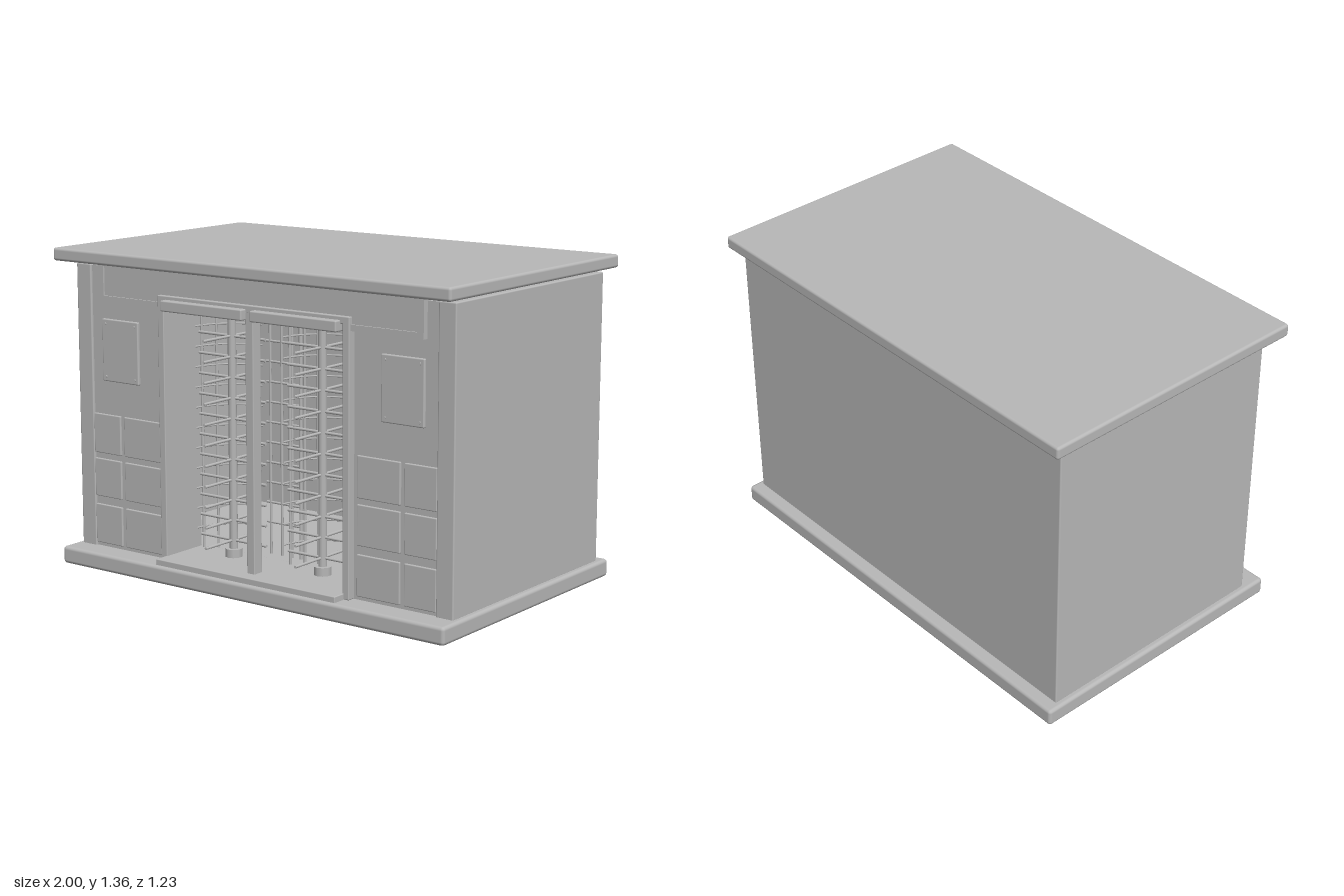
import * as THREE from 'three';
import { RoundedBoxGeometry } from 'three/addons/geometries/RoundedBoxGeometry.js';

export function createModel() {
  const root = new THREE.Group();
  root.name = 'turnstileKiosk';
  const grey = new THREE.MeshStandardMaterial({ color: 0xb8b8b8 });
  grey.name = 'plainGrey';

  const add = (name, geo, parent = root) => {
    const m = new THREE.Mesh(geo, grey);
    m.name = name;
    parent.add(m);
    return m;
  };
  // Box given by its extents, with an optional rounded edge
  const box = (name, x0, x1, y0, y1, z0, z1, r = 0, parent = root) => {
    const s = [x1 - x0, y1 - y0, z1 - z0];
    const m = add(name, r ? new RoundedBoxGeometry(...s, 2, r) : new THREE.BoxGeometry(...s), parent);
    m.position.set((x0 + x1) / 2, (y0 + y1) / 2, (z0 + z1) / 2);
    return m;
  };
  // The same box on both sides of x = 0
  const pair = (name, x0, x1, ...rest) => {
    box(name + 'Left', x0, x1, ...rest);
    box(name + 'Right', -x1, -x0, ...rest);
  };
  // Round rod between two points
  const rod = (name, a, b, r, parent = root) => {
    const p = new THREE.Vector3(...a), q = new THREE.Vector3(...b);
    const m = add(name, new THREE.CylinderGeometry(r, r, p.distanceTo(q), 10), parent);
    m.position.copy(p).add(q).multiplyScalar(0.5);
    m.quaternion.setFromUnitVectors(new THREE.Vector3(0, 1, 0), q.sub(p).normalize());
    return m;
  };

  // Slabs and shell
  box('baseSlab', -0.985, 0.985, 0, 0.075, -0.615, 0.615, 0.015);
  box('roofSlab', -1, 1, 1.305, 1.36, -0.615, 0.615, 0.012);
  pair('sideWall', 0.88, 0.96, 0.07, 1.29, -0.56, 0.515, 0.006);
  box('backWall', -0.955, 0.955, 0.07, 1.29, -0.56, -0.52, 0.006);
  box('ceiling', -0.9, 0.9, 1.25, 1.285, -0.55, 0.49);
  box('roofSupport', -0.82, 0.82, 1.27, 1.306, 0.33, 0.49);

  // Front wall with the doorway cut out
  const wall = new THREE.Shape([
    [-0.89, 0.07], [-0.47, 0.07], [-0.47, 1.17], [0.47, 1.17],
    [0.47, 0.07], [0.89, 0.07], [0.89, 1.285], [-0.89, 1.285],
  ].map(p => new THREE.Vector2(...p)));
  const front = add('frontWall', new THREE.ExtrudeGeometry(wall, { depth: 0.04, bevelEnabled: false }));
  front.position.z = 0.465;
  pair('doorReveal', 0.455, 0.485, 0.07, 1.17, 0.32, 0.5);

  // Sign board with a raised border
  const rect = (P, x, y0, y1) => {
    const p = new P();
    p.moveTo(-x, y0); p.lineTo(x, y0); p.lineTo(x, y1); p.lineTo(-x, y1); p.closePath();
    return p;
  };
  box('signPanel', -0.81, 0.81, 1.15, 1.3, 0.49, 0.522);
  const border = rect(THREE.Shape, 0.825, 1.14, 1.305);
  border.holes.push(rect(THREE.Path, 0.795, 1.165, 1.297));
  add('signBorder', new THREE.ExtrudeGeometry(border, { depth: 0.035, bevelEnabled: false })).position.z = 0.495;

  // Stone tiles and notice plates
  for (const [y0, y1] of [[0.09, 0.26], [0.295, 0.46], [0.485, 0.655]]) {
    pair('wideTile', 0.505, 0.71, y0, y1, 0.49, 0.514, 0.004);
    pair('narrowTile', 0.73, 0.88, y0, y1, 0.49, 0.514, 0.004);
  }
  pair('noticePlate', 0.62, 0.82, 0.8, 1.065, 0.5, 0.517, 0.005);
  for (const s of [-1, 1]) for (const x of [0.64, 0.8]) for (const y of [0.82, 1.045])
    rod('plateScrew', [s * x, y, 0.515], [s * x, y, 0.521], 0.006);

  // Door frame, sill and header covers
  pair('framePost', 0.455, 0.487, 0.075, 1.195, 0.49, 0.54, 0.004);
  box('frameLintel', -0.487, 0.487, 1.165, 1.195, 0.49, 0.54, 0.004);
  box('centreMullion', -0.026, 0.014, 0.09, 1.17, 0.49, 0.54, 0.004);
  box('sill', -0.463, 0.463, 0.07, 0.1, 0.3, 0.6, 0.004);
  box('headerCoverRight', -0.447, -0.022, 1.135, 1.18, 0.42, 0.57, 0.006);
  box('headerCoverLeft', 0.02, 0.445, 1.135, 1.18, 0.42, 0.57, 0.006);

  // Two rotors, each with a guard cage and a fixed comb
  const poleZ = 0.37, rows = 11, pitch = 0.086;
  for (const px of [-0.235, 0.23]) {
    const unit = new THREE.Group();
    unit.name = px < 0 ? 'turnstileRight' : 'turnstileLeft';
    unit.position.set(px, 0, poleZ);
    root.add(unit);
    rod('pole', [0, 0.08, 0], [0, 1.2, 0], 0.018, unit);
    rod('poleHub', [0, 0.08, 0], [0, 0.135, 0], 0.037, unit);

    for (let i = 0; i < rows; i++) {
      const y = 0.17 + i * pitch;
      rod('armAcross', [-0.175, y, 0], [0.175, y, 0], 0.006, unit);
      rod('armDeep', [0, y, -0.175], [0, y, 0.18], 0.006, unit);
      // Curved guard rail behind the left half of the rotor
      const rail = add('guardRail', new THREE.TorusGeometry(0.2, 0.004, 6, 16, Math.PI / 2), unit);
      rail.rotation.set(-Math.PI / 2, 0, Math.PI / 2);
      rail.position.y = y + 0.02;
      // Fixed comb bars between the arms
      rod('combBar', [0.02, y + 0.043, -0.2], [0.2, y + 0.043, -0.2], 0.005, unit);
    }
    for (const a of [0.7, 1.05, 1.33])
      rod('guardPost', [-0.2 * Math.sin(Math.PI / 2 - a + 0.5), 0.075, -0.2 * Math.cos(Math.PI / 2 - a + 0.5)],
        [-0.2 * Math.sin(Math.PI / 2 - a + 0.5), 1.25, -0.2 * Math.cos(Math.PI / 2 - a + 0.5)], 0.006, unit);
    for (const x of [0.04, 0.1, 0.155])
      rod('combPost', [x, 0.075, -0.2], [x, 1.25, -0.2], 0.006, unit);
    rod('combEndPost', [0.2, 0.075, -0.2], [0.2, 1.25, -0.2], 0.008, unit);
  }
  return root;
}
